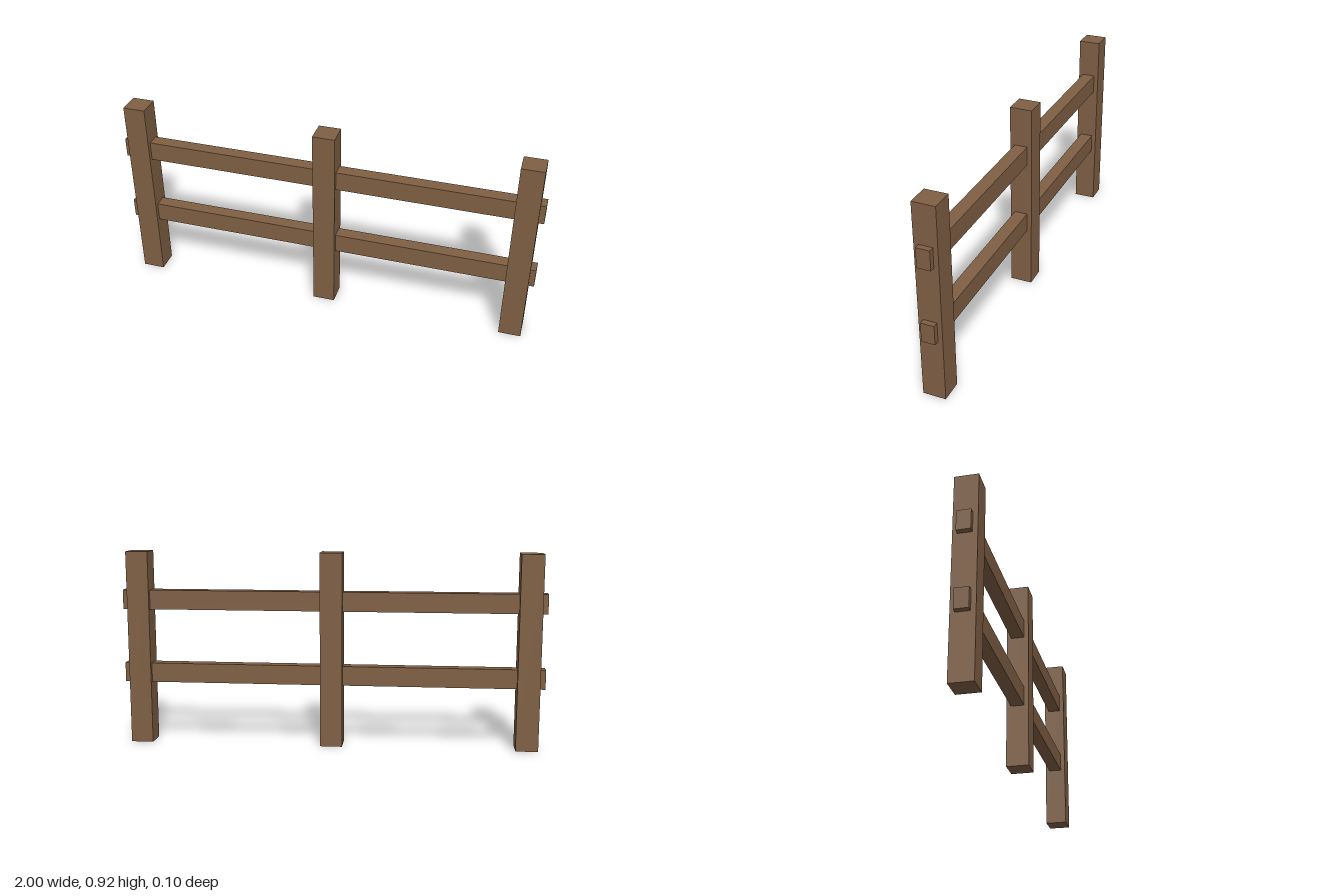
import * as THREE from 'three';

export function createModel() {
  const fence = new THREE.Group();
  fence.name = 'fence';

  const wood = new THREE.MeshStandardMaterial({ color: 0x7f5f44 });
  wood.name = 'brown wood';

  function beam(name, width, height, depth, x, y) {
    const mesh = new THREE.Mesh(new THREE.BoxGeometry(width, height, depth), wood);
    mesh.name = name;
    mesh.position.set(x, y, 0);
    fence.add(mesh);
  }

  // Three square posts standing on the ground
  const postHeight = 0.923;
  const posts = { rightPost: -0.922, middlePost: 0, leftPost: 0.922 };
  for (const [name, x] of Object.entries(posts)) {
    beam(name, 0.105, postHeight, 0.105, x, postHeight / 2);
  }

  // Two rails running through the posts, with ends poking out
  const rails = { lowerRail: 0.34, upperRail: 0.693 };
  for (const [name, y] of Object.entries(rails)) {
    beam(name, 2, 0.092, 0.062, 0, y);
  }

  return fence;
}
